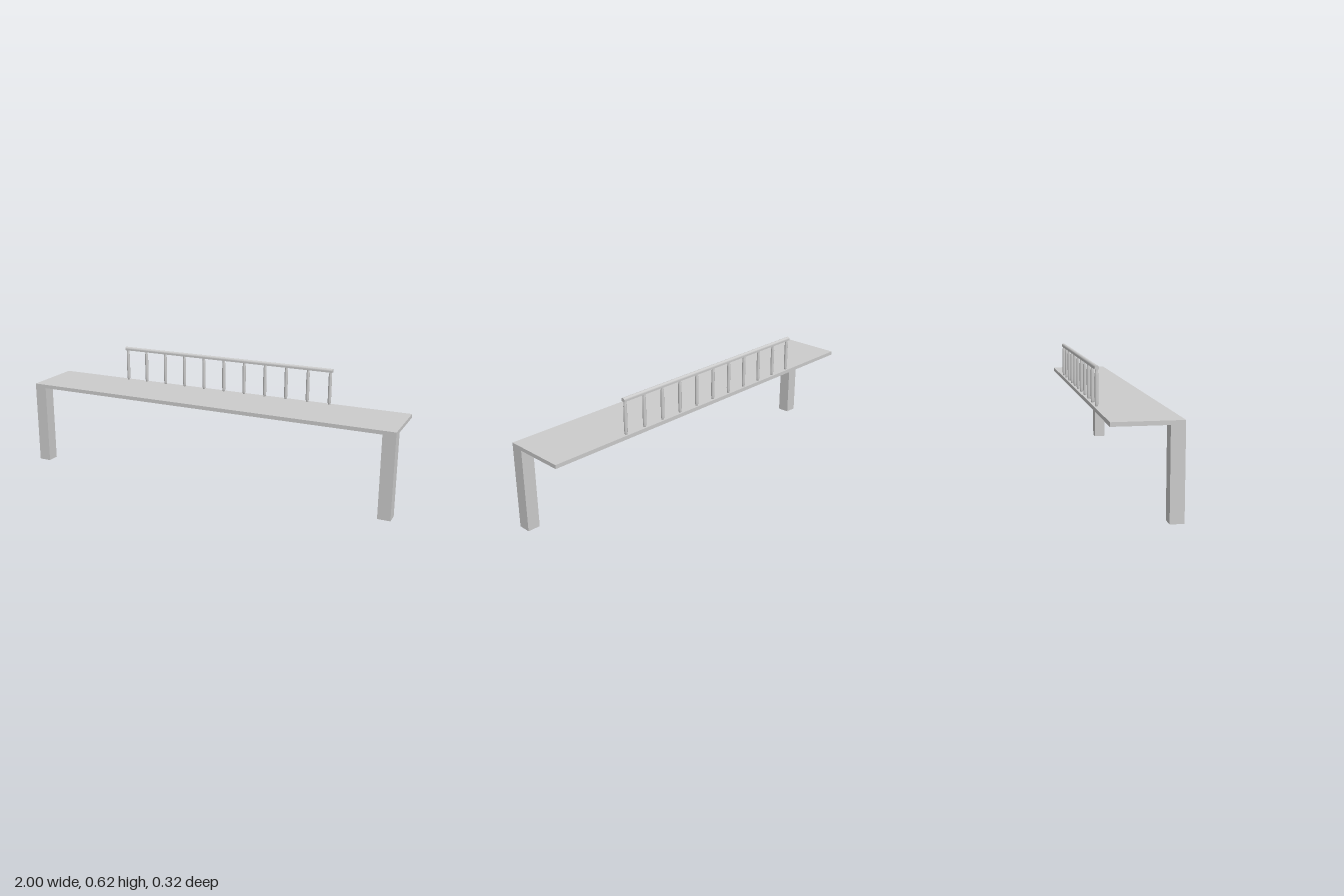
import * as THREE from 'three';

const material = new THREE.MeshStandardMaterial({ color: 0xcccccc });

function add(group, name, geometry, x, y, z) {
  const mesh = new THREE.Mesh(geometry, material);
  mesh.name = name;
  mesh.position.set(x, y, z);
  group.add(mesh);
  return mesh;
}

export function createModel() {
  const model = new THREE.Group();
  const top = 0.439, thick = 0.019, depth = 0.316, leg = 0.064;
  const railZ = -0.144, railBase = 0.606;

  // Flat shelf board
  add(model, 'board', new THREE.BoxGeometry(2, thick, depth), 0, top - thick / 2, 0);

  // Two square legs under the front corners
  const legHeight = top - thick;
  for (const side of [-1, 1]) {
    add(model, side < 0 ? 'rightLeg' : 'leftLeg', new THREE.BoxGeometry(leg, legHeight, leg),
      side * (1 - leg / 2), legHeight / 2, depth / 2 - leg / 2);
  }

  // Row of turned spindles along the back edge
  const profile = [
    [0.0055, 0], [0.0065, 0.004], [0.0078, 0.009], [0.0085, 0.025], [0.0088, 0.08],
    [0.0085, 0.14], [0.0078, 0.152], [0.0065, 0.158], [0.0065, railBase - top],
  ].map(([r, y]) => new THREE.Vector2(r, y));
  const spindle = new THREE.LatheGeometry(profile, 16);
  const count = 11;
  for (let i = 0; i < count; i++) {
    add(model, 'spindle', spindle, -0.585 + (1.17 * i) / (count - 1), top, railZ);
  }

  // Handrail with flat underside and rounded top
  const r = 0.01, length = 1.194;
  const section = new THREE.Shape();
  section.moveTo(-r, 0);
  section.lineTo(r, 0);
  section.lineTo(r, 0.008);
  section.absarc(0, 0.008, r, 0, Math.PI, false);
  section.closePath();
  const railGeometry = new THREE.ExtrudeGeometry(section, { depth: length, bevelEnabled: false, curveSegments: 12 });
  railGeometry.translate(0, 0, -length / 2);
  railGeometry.rotateY(Math.PI / 2);
  add(model, 'handrail', railGeometry, 0, railBase, railZ);

  return model;
}
